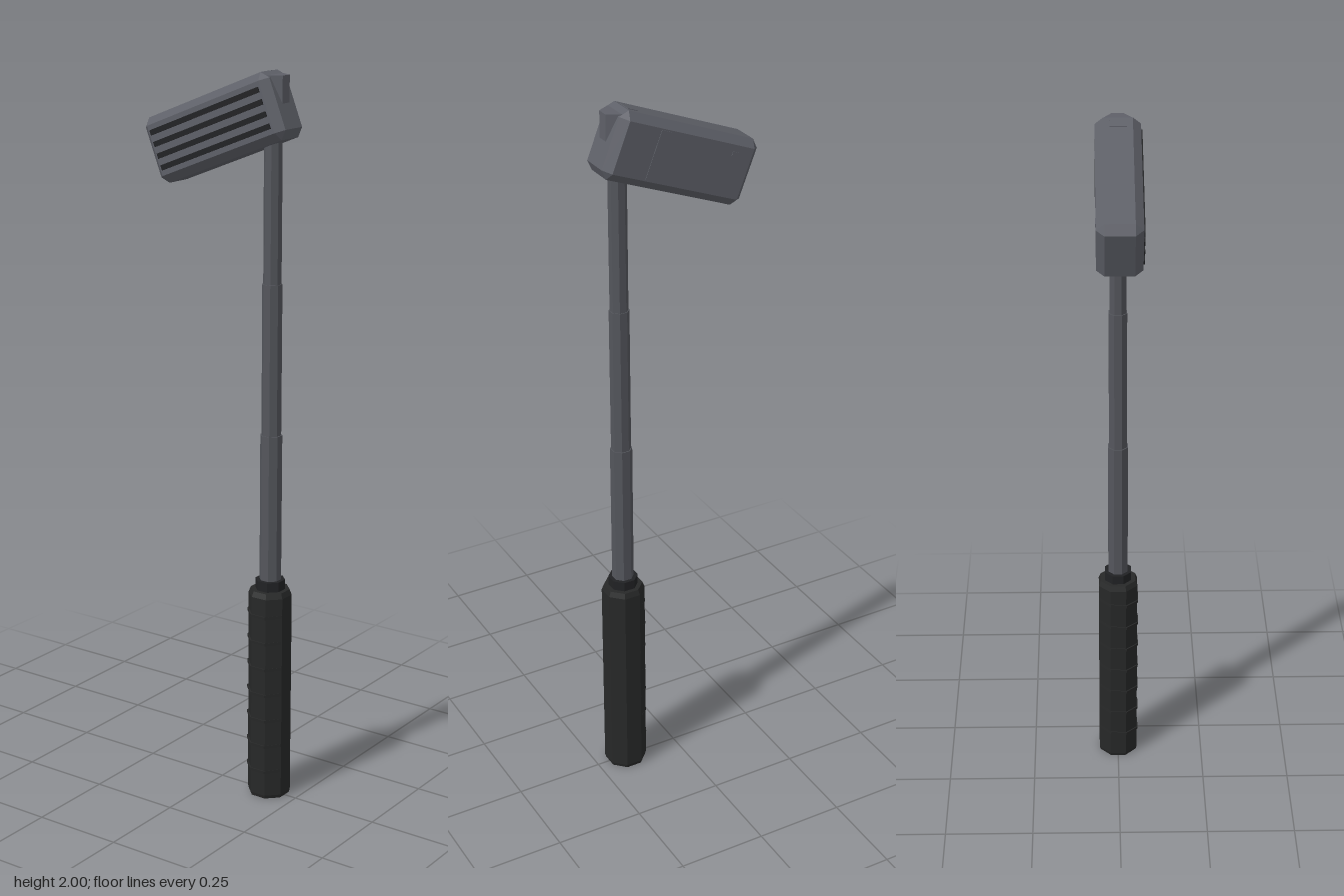
import * as THREE from 'three';
import { ConvexGeometry } from 'three/addons/geometries/ConvexGeometry.js';

const material = (name, color) => {
  const m = new THREE.MeshStandardMaterial({ color, flatShading: true });
  m.name = name;
  return m;
};

// Box with every edge cut off at 45 degrees; h holds the half sizes
function chamferedBox(h, c) {
  const points = [];
  for (const sx of [-1, 1]) for (const sy of [-1, 1]) for (const sz of [-1, 1]) {
    for (let axis = 0; axis < 3; axis++) {
      const p = h.map((v, i) => (i === axis ? v : v - c));
      points.push(new THREE.Vector3(sx * p[0], sy * p[1], sz * p[2]));
    }
  }
  return new ConvexGeometry(points);
}

export function createModel() {
  const metal = material('head grey', 0x5e6068);
  const steel = material('shaft grey', 0x54565c);
  const rubber = material('grip black', 0x272828);
  const dark = material('dark trim', 0x212224);
  const model = new THREE.Group();
  const axisZ = 0.16;

  const add = (parent, name, geometry, mat, x = 0, y = 0, z = 0) => {
    const mesh = new THREE.Mesh(geometry, mat);
    mesh.name = name;
    mesh.position.set(x, y, z);
    parent.add(mesh);
    return mesh;
  };

  // Eight-sided rod standing on the shaft axis, flats facing front and sides
  const rod = (name, rTop, rBottom, y0, y1, mat) => {
    const g = new THREE.CylinderGeometry(rTop, rBottom, y1 - y0, 8);
    g.rotateY(Math.PI / 8);
    return add(model, name, g, mat, 0, (y0 + y1) / 2, axisZ);
  };

  // Grip with slightly tilted ribs
  rod('grip', 0.06, 0.06, 0.01, 0.59, rubber);
  rod('gripFoot', 0.06, 0.057, 0, 0.01, rubber);
  rod('gripShoulder', 0.054, 0.06, 0.59, 0.605, rubber);
  for (let i = 0; i < 7; i++) {
    const y = 0.085 + i * 0.076;
    const rib = rod('gripRib', 0.0605, 0.0605, y - 0.004, y + 0.004, rubber);
    rib.position.x = -0.002;
    rib.position.z -= 0.002;
    rib.rotation.z = 0.08;
  }
  rod('gripCollar', 0.041, 0.041, 0.6, 0.632, dark);

  // Telescoping shaft
  rod('lowerShaft', 0.03, 0.03, 0.62, 1.04, steel);
  rod('middleShaft', 0.027, 0.027, 1.04, 1.45, steel);
  rod('upperShaft', 0.0245, 0.0245, 1.45, 1.9, steel);

  // Tilted head
  const head = new THREE.Group();
  head.name = 'head';
  head.position.y = 1.846;
  head.rotation.x = -THREE.MathUtils.degToRad(21.5);
  model.add(head);
  add(head, 'headBlock', chamferedBox([0.059, 0.09, 0.212], 0.021), metal);

  // Long ribs on one cheek
  for (let i = 0; i < 4; i++) {
    add(head, 'cheekRib', new THREE.BoxGeometry(0.008, 0.014, 0.37), dark, -0.0585, -0.048 + i * 0.032, 0);
  }

  // Thin plates on the other cheek and on the top
  add(head, 'cheekPlate', new THREE.BoxGeometry(0.004, 0.13, 0.03), metal, 0.0585, 0, 0.08);
  add(head, 'cheekMark', new THREE.BoxGeometry(0.004, 0.012, 0.02), metal, 0.0585, 0.045, -0.14);
  add(head, 'topMark', new THREE.BoxGeometry(0.044, 0.003, 0.03), metal, 0, 0.09, 0.17);

  // Upright wedge where the shaft meets the front of the head
  const outline = [[-0.037, 0.145], [-0.037, 0.165], [-0.016, 0.198], [0.016, 0.198], [0.037, 0.165], [0.037, 0.145]];
  const wedge = new ConvexGeometry(outline.flatMap(([x, z]) =>
    [1.88, 1.992].map((y) => new THREE.Vector3(x, y, z))));
  add(model, 'frontWedge', wedge, metal);

  return model;
}
